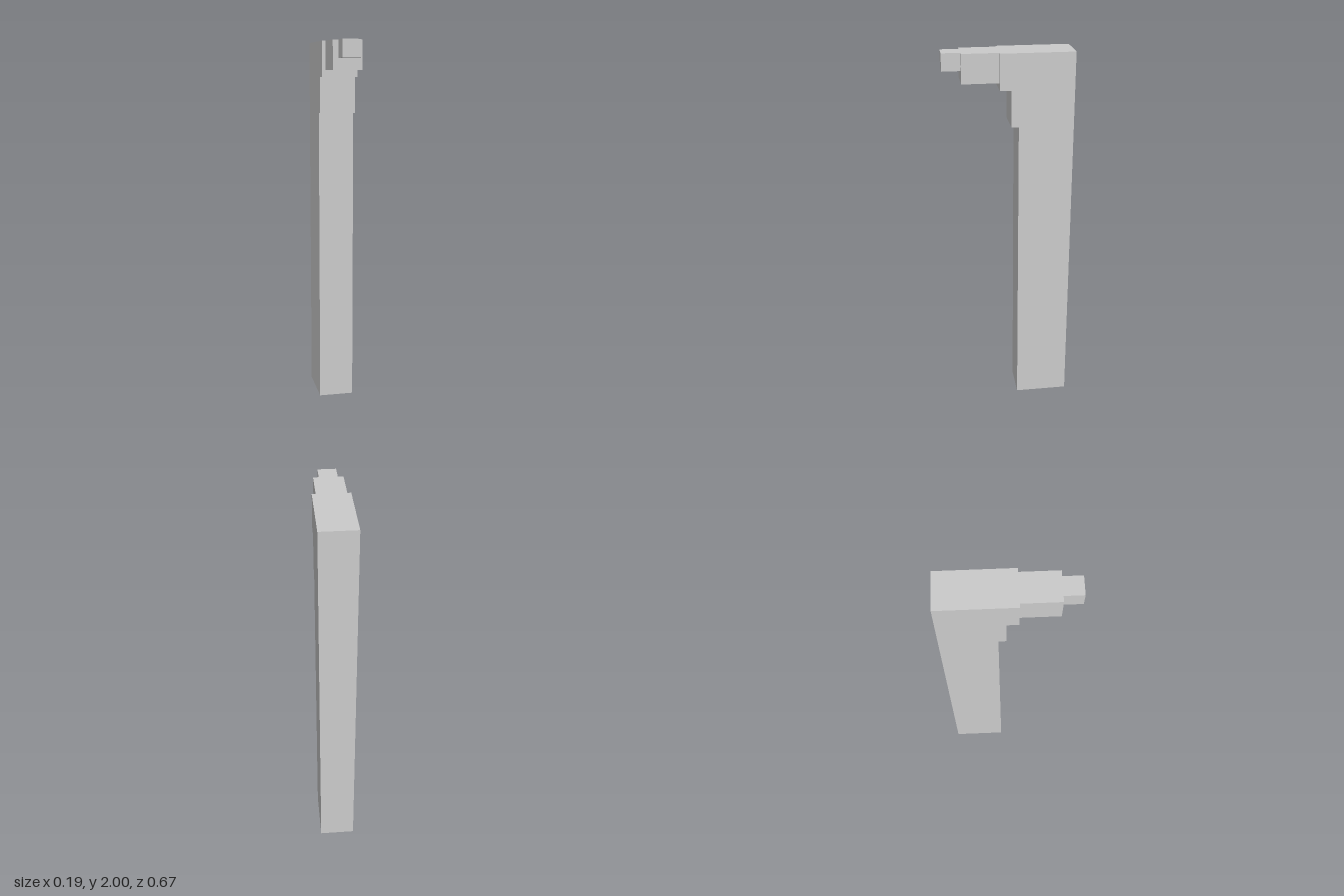
import * as THREE from 'three';

const HALF_WIDTH = 0.095;
const TOP = 2;
const BACK = -0.333;
const HEAD_FRONT = 0.048;

export function createModel() {
  const group = new THREE.Group();
  const material = new THREE.MeshStandardMaterial({ color: 0xcccccc, flatShading: true });

  const add = (name, geometry) => {
    const mesh = new THREE.Mesh(geometry, material);
    mesh.name = name;
    group.add(mesh);
    return mesh;
  };

  // Post with its stepped head: side outline as (z, y), extruded across x
  const outline = [
    [BACK, 0], [-0.048, 0], [-0.048, 1.625], [-0.01, 1.625],
    [-0.01, 1.815], [HEAD_FRONT, 1.815], [HEAD_FRONT, TOP], [BACK, TOP],
  ].map(([z, y]) => new THREE.Vector2(z, y));
  const post = new THREE.ExtrudeGeometry(new THREE.Shape(outline), {
    depth: 2 * HALF_WIDTH, bevelEnabled: false,
  });
  post.rotateY(-Math.PI / 2).translate(HALF_WIDTH, 0, 0);
  add('post', post);

  // Narrowing arm: each section is flush with the top and starts where the last ends
  const sections = [
    { name: 'arm', width: 0.152, height: 0.15, end: 0.238 },
    { name: 'armTip', width: 0.095, height: 0.09, end: 0.333 },
  ];
  let start = HEAD_FRONT;
  for (const { name, width, height, end } of sections) {
    const section = add(name, new THREE.BoxGeometry(width, height, end - start));
    section.position.set(0, TOP - height / 2, (start + end) / 2);
    start = end;
  }

  return group;
}
